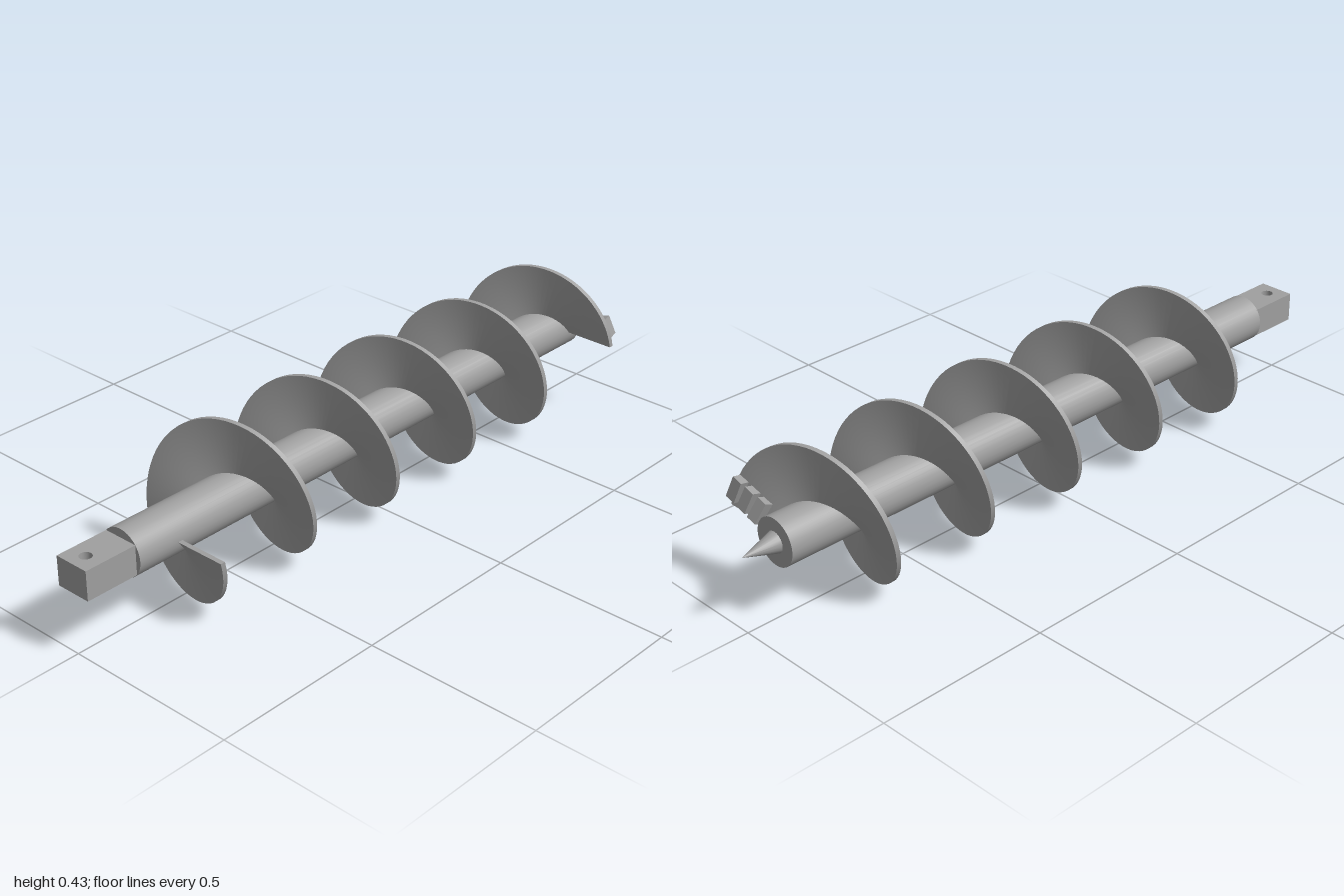
import * as THREE from 'three';

const AXIS_Y = 0.215;
const PITCH = 0.315, TURNS = 5, START_Z = 0.715;
const INNER = 0.06, OUTER = 0.215, HALF = 0.007;

// Helical blade: a thin rectangular section swept around the shaft
function flightGeometry(stepsPerTurn = 64) {
  const section = [[OUTER, HALF], [INNER, HALF], [INNER, -HALF], [OUTER, -HALF]];
  const n = TURNS * stepsPerTurn;
  const pos = [], index = [];
  const point = (i, [r, dz]) => {
    const t = (i / stepsPerTurn) * Math.PI * 2;
    pos.push(r * Math.cos(t), -r * Math.sin(t), START_Z - (PITCH * i) / stepsPerTurn + dz);
  };
  // each side has its own vertices, so the rims stay sharp
  section.forEach((a, k) => {
    const b = section[(k + 1) % 4];
    const base = pos.length / 3;
    for (let i = 0; i <= n; i++) {
      point(i, a);
      point(i, b);
      if (i < n) {
        const o = base + i * 2;
        index.push(o, o + 1, o + 3, o, o + 3, o + 2);
      }
    }
  });
  // end caps
  for (const end of [0, n]) {
    const o = pos.length / 3;
    section.forEach((c) => point(end, c));
    if (end) index.push(o, o + 1, o + 2, o, o + 2, o + 3);
    else index.push(o, o + 2, o + 1, o, o + 3, o + 2);
  }
  const g = new THREE.BufferGeometry();
  g.setAttribute('position', new THREE.Float32BufferAttribute(pos, 3));
  g.setIndex(index);
  g.computeVertexNormals();
  return g;
}

export function createModel() {
  const model = new THREE.Group();
  model.name = 'augerBit';
  const steel = new THREE.MeshStandardMaterial({ color: 0xa0a0a0 });
  steel.name = 'steel grey';

  const add = (name, geometry, parent = auger) => {
    const mesh = new THREE.Mesh(geometry, steel);
    mesh.name = name;
    parent.add(mesh);
    return mesh;
  };

  const auger = new THREE.Group();
  auger.name = 'auger';
  auger.position.y = AXIS_Y;
  model.add(auger);

  // Central shaft
  const shaft = add('shaft', new THREE.CylinderGeometry(0.067, 0.067, 1.745, 32));
  shaft.rotation.x = Math.PI / 2;
  shaft.position.z = -0.0275;

  // Square drive shank with a vertical pin hole
  const plan = new THREE.Shape();
  plan.moveTo(-0.052, -1);
  plan.lineTo(0.052, -1);
  plan.lineTo(0.052, -0.84);
  plan.lineTo(-0.052, -0.84);
  plan.closePath();
  const hole = new THREE.Path();
  hole.absarc(0, -0.955, 0.017, 0, Math.PI * 2, true);
  plan.holes.push(hole);
  const shank = add('shank', new THREE.ExtrudeGeometry(plan, { depth: 0.084, bevelEnabled: false, curveSegments: 20 }));
  shank.rotation.x = -Math.PI / 2;
  shank.position.y = -0.042;

  // Pilot point
  const tip = add('pilotPoint', new THREE.ConeGeometry(0.03, 0.1, 20));
  tip.rotation.x = -Math.PI / 2;
  tip.position.z = -0.95;

  // Screw blade
  add('flight', flightGeometry());

  // Cutting teeth on the leading edge of the blade
  const teeth = new THREE.Group();
  teeth.name = 'cuttingTeeth';
  auger.add(teeth);
  const angle = 0.28;
  const bladeZ = START_Z - PITCH * TURNS + (PITCH * angle) / (Math.PI * 2);
  for (const r of [0.105, 0.15, 0.195]) {
    const holder = new THREE.Group();
    holder.name = 'toothHolder';
    holder.rotation.z = angle;
    teeth.add(holder);
    const tooth = add('tooth', new THREE.BoxGeometry(0.032, 0.06, 0.028), holder);
    tooth.position.set(r, 0, bladeZ - 0.018);
    tooth.rotation.x = Math.atan(PITCH / (Math.PI * 2 * r));
  }
  return model;
}
